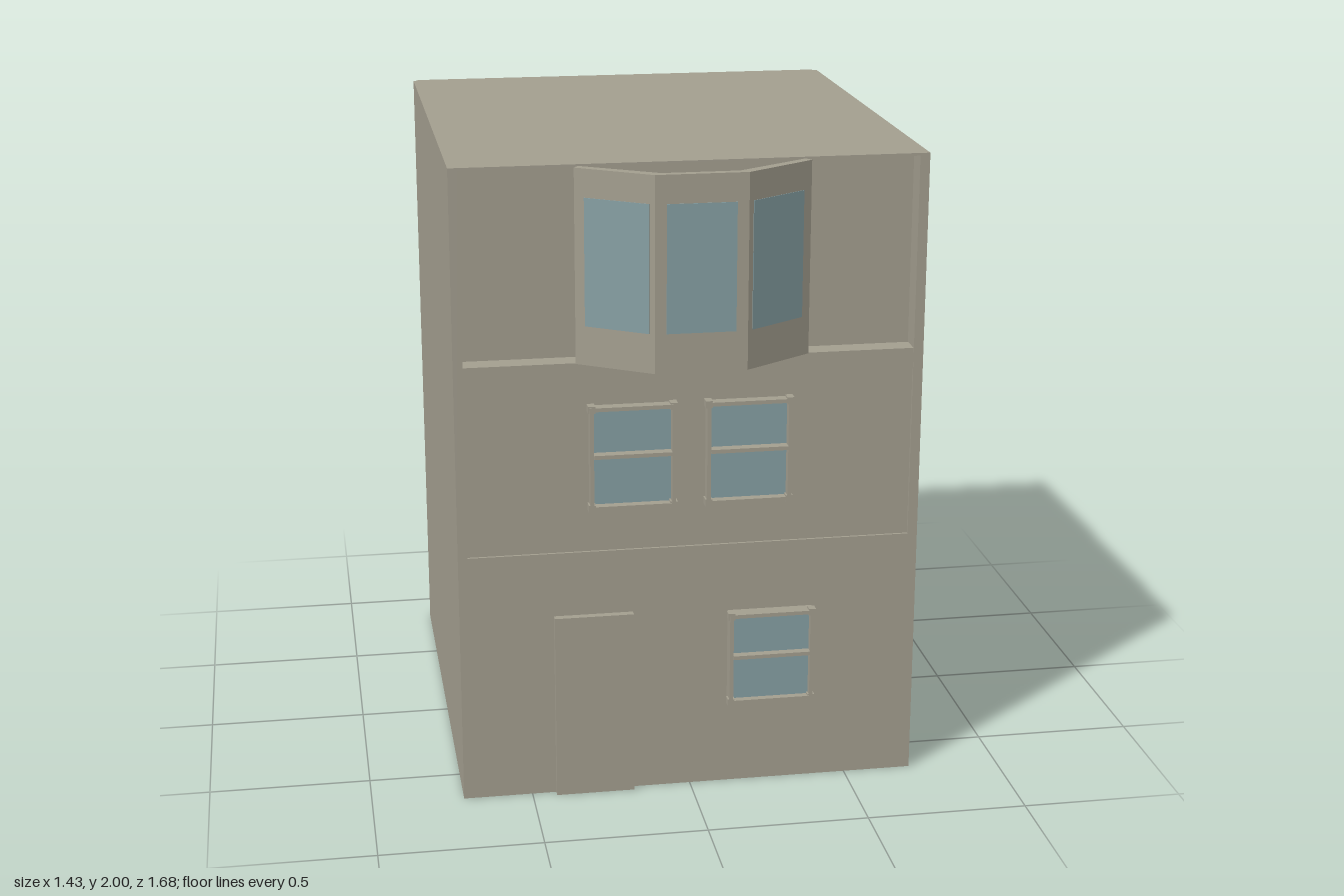
import * as THREE from 'three';

export function createModel() {
  const model = new THREE.Group();
  model.name = 'townhouse';
  const stone = new THREE.MeshStandardMaterial({ color: 0xa39e8f });
  stone.name = 'stone';
  const glass = new THREE.MeshStandardMaterial({ color: 0x869fa3 });
  glass.name = 'glass';

  // Box given by its lower and upper corners
  function block(name, x0, x1, y0, y1, z0, z1, material = stone, parent = model) {
    const mesh = new THREE.Mesh(new THREE.BoxGeometry(x1 - x0, y1 - y0, z1 - z0), material);
    mesh.position.set((x0 + x1) / 2, (y0 + y1) / 2, (z0 + z1) / 2);
    mesh.name = name;
    parent.add(mesh);
    return mesh;
  }

  // Main volume, back panel and roof
  const W = 0.715, IN = 0.685, F = 0.672;
  block('body', -W, W, 0, 1.992, -0.832, 0.602);
  block('backPanel', -0.7, 0.7, 0, 2, -0.845, -0.832);
  block('roof', -W, W, 1.992, 2, -0.832, F);

  // Facade layers: flush ground floor, inset middle floor, recessed top floor
  block('groundFloorWall', -W, W, 0, 0.8, 0.602, F);
  for (const s of [-1, 1]) {
    const x = s * (W + IN) / 2;
    block('cornerPost', x - 0.015, x + 0.015, 0.8, 1.992, 0.602, F);
  }
  block('middleFloorWall', -IN, IN, 0.8, 1.335, 0.602, F - 0.008);
  block('upperLedge', -IN, IN, 1.335, 1.4, 0.602, F - 0.002);

  // Front door
  block('door', -0.425, -0.18, 0, 0.595, F, 0.695);

  // Sash window with a frame, a middle bar and small corner blocks
  function sashWindow(x0, x1, y0, y1, z0, z1) {
    const g = new THREE.Group();
    g.name = 'sashWindow';
    const t = 0.012, k = 0.011, ym = (y0 + y1) / 2 + 0.008;
    block('pane', x0 + t, x1 - t, y0 + t, y1 - t, z0, z0 + 0.006, glass, g);
    for (const x of [x0, x1 - t]) block('frameSide', x, x + t, y0, y1, z0, z1, stone, g);
    for (const y of [y0, y1 - t]) block('frameRail', x0 + t, x1 - t, y, y + t, z0, z1, stone, g);
    block('middleBar', x0 + t, x1 - t, ym - 0.006, ym + 0.006, z0, z1 + 0.004, stone, g);
    for (const x of [x0 + t / 2, x1 - t / 2])
      for (const y of [y0 + t / 2, y1 - t / 2])
        block('cornerBlock', x - k, x + k, y - k, y + k, z0, z1 - 0.001, stone, g);
    model.add(g);
  }
  sashWindow(-0.312, -0.05, 0.94, 1.265, F - 0.008, 0.698);
  sashWindow(0.045, 0.307, 0.94, 1.265, F - 0.008, 0.698);
  block('windowBase', 0.117, 0.383, 0.28, 0.58, F, 0.69);
  sashWindow(0.117, 0.383, 0.28, 0.58, 0.69, 0.718);

  // Bay: three thin panels, open above, below and behind
  const outer = [[-0.352, 0.694], [-0.138, 0.835], [0.138, 0.835], [0.352, 0.694]];
  const inner = [[-0.337, 0.672], [-0.115, 0.81], [0.115, 0.81], [0.337, 0.672]];
  const outline = [...outer, ...inner.slice().reverse()].map(([x, z]) => new THREE.Vector2(x, z));
  const bayGeometry = new THREE.ExtrudeGeometry(new THREE.Shape(outline), { depth: 0.59, bevelEnabled: false });
  bayGeometry.rotateX(Math.PI / 2);
  const bay = new THREE.Mesh(bayGeometry, stone);
  bay.position.y = 1.995;
  bay.name = 'bay';
  model.add(bay);

  // Glass plates on both faces of each bay panel
  for (const line of [outer, inner]) {
    for (let i = 0; i < 3; i++) {
      const [ax, az] = line[i], [bx, bz] = line[i + 1];
      const side = i - 1;
      const length = side === 0 ? 0.206 : 0.207;
      const mid = 0.5 - side * 0.03;
      const pane = new THREE.Mesh(new THREE.BoxGeometry(length, 0.385, 0.004), glass);
      pane.position.set(ax + (bx - ax) * mid, 1.717, az + (bz - az) * mid);
      pane.rotation.y = -Math.atan2(bz - az, bx - ax);
      pane.name = 'bayPane';
      model.add(pane);
    }
  }
  return model;
}
